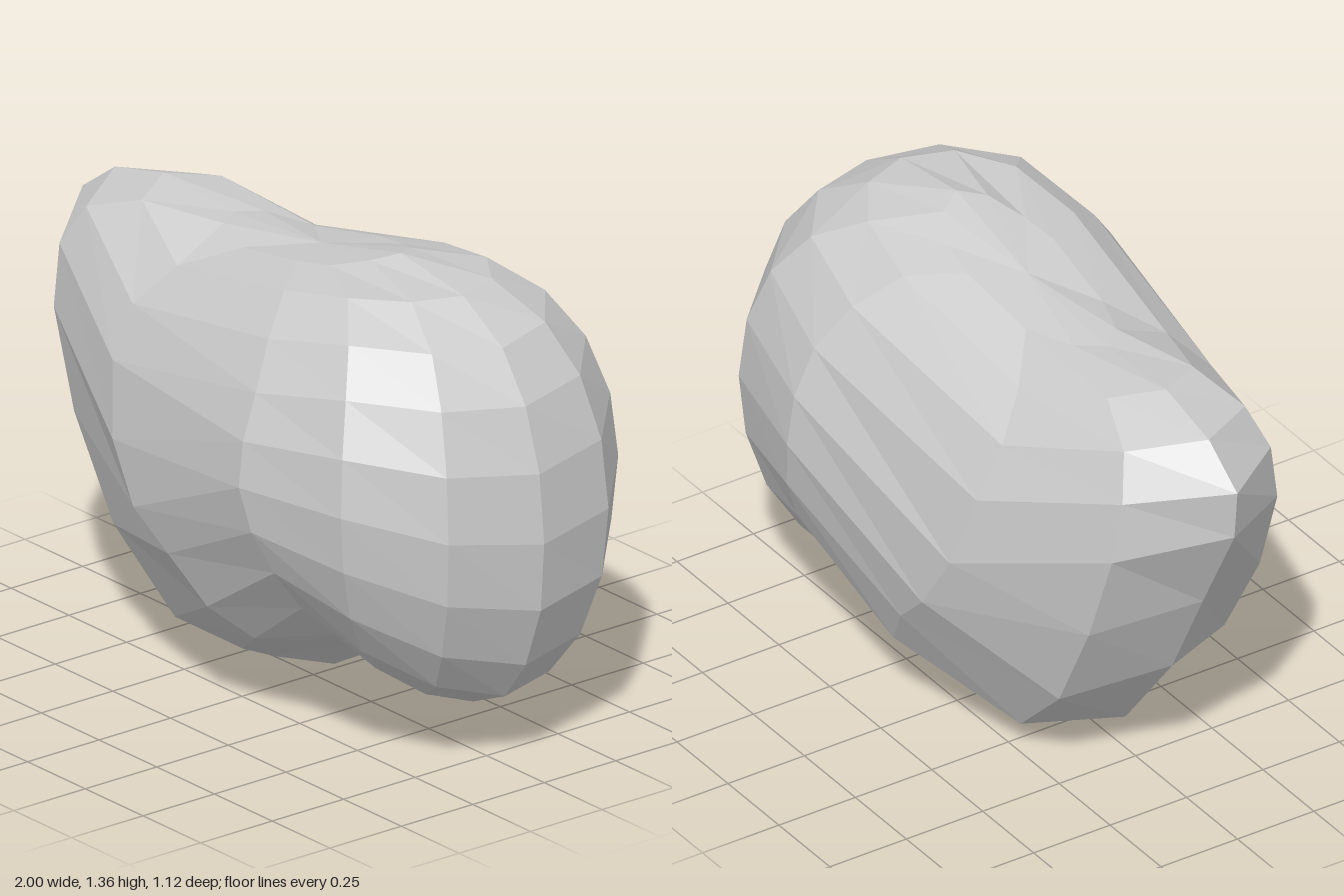
import * as THREE from 'three';

const SIDES = 12, STACKS = 12, HALF_DEPTH = 0.56;
const TOP = [0.03, 1.28], BOTTOM = [0.44, 0.22];

// A meridian runs from the top pole to the bottom pole in the x-y plane
const meridian = (...points) => new THREE.SplineCurve(
  [TOP, ...points, BOTTOM].map(([x, y]) => new THREE.Vector2(x, y))
).getPoints(STACKS);

function createBody() {
  // Meridians by angle, from the blunt end (0) to the pointed end (180)
  const m0 = meridian([0.38, 1.36], [0.65, 1.32], [0.82, 1.22], [0.92, 1.08], [0.98, 0.9],
    [1, 0.7], [0.985, 0.5], [0.92, 0.32], [0.83, 0.2], [0.69, 0.14], [0.58, 0.17]);
  const m60 = meridian([0.45, 1.31], [0.66, 1.11], [0.72, 0.78], [0.68, 0.44], [0.57, 0.22]);
  const m90 = meridian([0.22, 1.27], [0.35, 1.05], [0.37, 0.775], [0.43, 0.505], [0.44, 0.28]);
  const m120 = meridian([-0.15, 1.24], [-0.29, 1.17], [-0.36, 1.06], [-0.35, 0.91], [-0.29, 0.7],
    [-0.18, 0.53], [-0.05, 0.42], [0.06, 0.28], [0.17, 0.2], [0.27, 0.2], [0.36, 0.21]);
  const m150 = meridian([-0.3, 1.25], [-0.57, 1.25], [-0.74, 1.19], [-0.8, 1.07], [-0.79, 0.89],
    [-0.69, 0.61], [-0.53, 0.32], [-0.3, 0.11], [-0.06, 0.08], [0.14, 0.13], [0.31, 0.19]);
  const m180 = meridian([-0.35, 1.25], [-0.65, 1.27], [-0.86, 1.22], [-1, 1.12], [-0.985, 0.97],
    [-0.83, 0.68], [-0.68, 0.39], [-0.45, 0.1], [-0.17, 0], [0.09, 0.06], [0.29, 0.17]);
  // The 30 degree meridian blends its neighbours
  const m30 = m0.map((p, j) => p.clone().multiplyScalar(0.634)
    .addScaledVector(m60[j], 0.464).addScaledVector(m90[j], -0.098));
  const meridians = [m0, m30, m60, m90, m120, m150, m180];

  const positions = [], index = [];
  for (let j = 0; j <= STACKS; j++) {
    const t = j / STACKS;
    for (let i = 0; i < SIDES; i++) {
      const p = meridians[Math.min(i, SIDES - i)][j];
      const z = HALF_DEPTH * Math.sin(Math.PI * t) * Math.sin(2 * Math.PI * i / SIDES);
      // The lower half leans slightly to one side
      positions.push(p.x, p.y + 0.25 * t * t * z, z);
    }
  }
  // Quads between rings, single triangles at the poles
  for (let j = 0; j < STACKS; j++) {
    for (let i = 0; i < SIDES; i++) {
      const a = j * SIDES + i, b = j * SIDES + (i + 1) % SIDES;
      const c = a + SIDES, d = b + SIDES;
      if (j > 0) index.push(a, b, c);
      if (j < STACKS - 1) index.push(b, d, c);
    }
  }
  const geometry = new THREE.BufferGeometry();
  geometry.setAttribute('position', new THREE.Float32BufferAttribute(positions, 3));
  geometry.setIndex(index);
  const faceted = geometry.toNonIndexed();
  faceted.computeVertexNormals();
  return faceted;
}

export function createModel() {
  const group = new THREE.Group();
  group.name = 'facetedBean';
  const material = new THREE.MeshStandardMaterial({ color: 0xcccccc, flatShading: true });
  const body = new THREE.Mesh(createBody(), material);
  body.name = 'body';
  group.add(body);
  return group;
}
